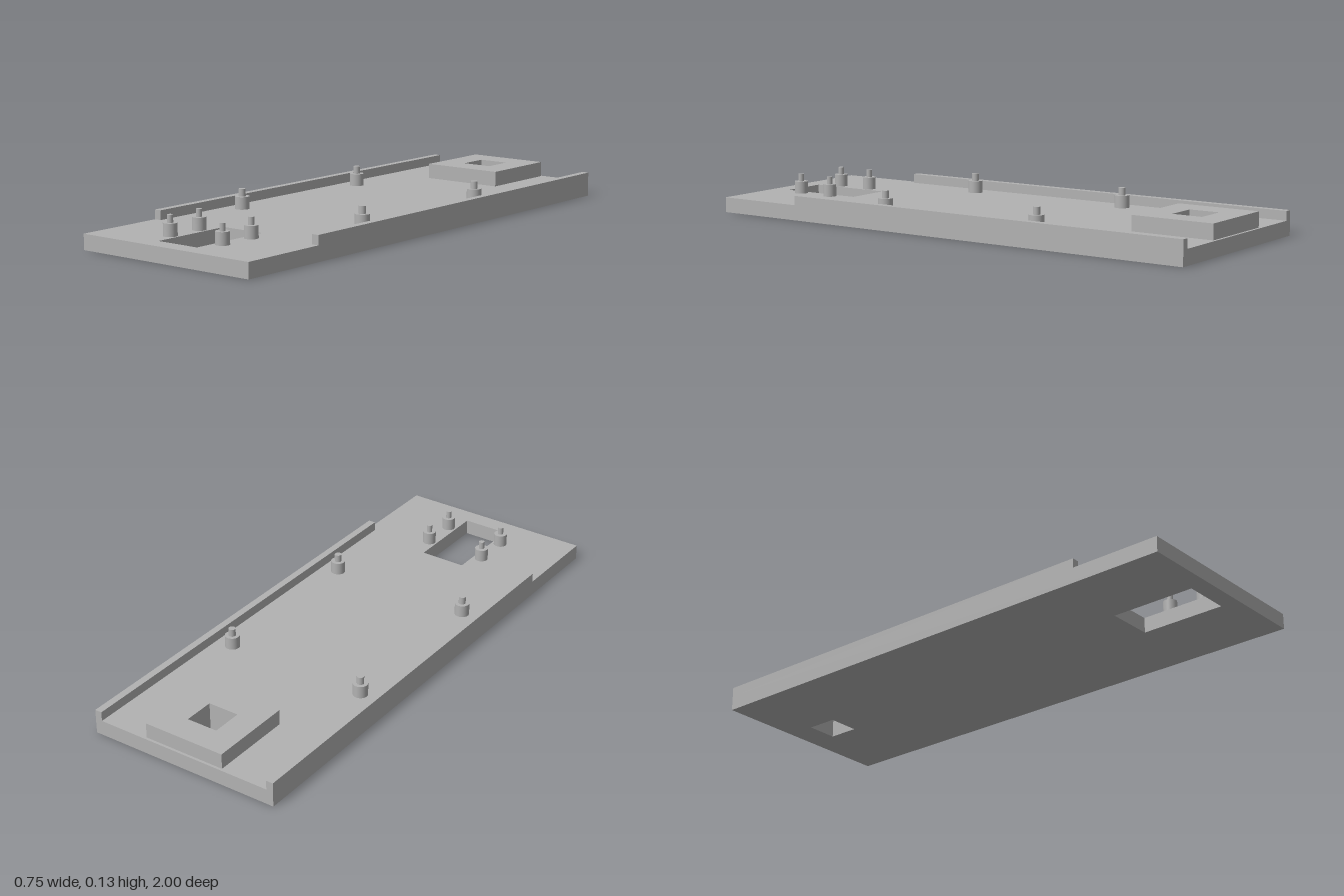
import * as THREE from 'three';

const BASE_TOP = 0.057;

// Rectangular slab with a rectangular through-hole; rectangles are [x0, x1, z0, z1]
function slab(outer, holes, y0, y1) {
  const trace = (path, [x0, x1, z0, z1]) => {
    path.moveTo(x0, -z1);
    path.lineTo(x1, -z1);
    path.lineTo(x1, -z0);
    path.lineTo(x0, -z0);
    path.closePath();
    return path;
  };
  const shape = trace(new THREE.Shape(), outer);
  for (const h of holes) shape.holes.push(trace(new THREE.Path(), h));
  const geo = new THREE.ExtrudeGeometry(shape, { depth: y1 - y0, bevelEnabled: false });
  return geo.rotateX(-Math.PI / 2).translate(0, y0, 0);
}

export function createModel() {
  const model = new THREE.Group();
  const grey = new THREE.MeshStandardMaterial({ color: 0xb2b2b2 });
  grey.name = 'plain grey';

  const add = (parent, name, geo) => {
    const mesh = new THREE.Mesh(geo, grey);
    mesh.name = name;
    parent.add(mesh);
    return mesh;
  };

  // Base plate with front slot and rear square hole
  const slot = [-0.088, 0.088, 0.61, 0.932];
  const squareHole = [-0.06, 0.06, -0.89, -0.773];
  add(model, 'basePlate', slab([-0.376, 0.376, -1, 1], [slot, squareHole], 0, BASE_TOP));

  // Raised pad around the rear hole
  add(model, 'rearPad', slab([-0.16, 0.16, -0.99, -0.672], [squareHole], BASE_TOP, 0.114));

  // Stepped mounting post: wide boss with a narrow pin
  const addPost = (name, x, z, bossRadius, pinRadius) => {
    const post = new THREE.Group();
    post.name = name;
    post.position.set(x, BASE_TOP, z);
    const boss = new THREE.CylinderGeometry(bossRadius, bossRadius, 0.046, 32);
    add(post, 'boss', boss.translate(0, 0.023, 0));
    const pin = new THREE.CylinderGeometry(pinRadius, pinRadius, 0.028, 32);
    add(post, 'pin', pin.translate(0, 0.06, 0));
    model.add(post);
  };

  for (const [side, s] of [['left', 1], ['right', -1]]) {
    // Side rail, stopping short of the front
    const rail = add(model, side + 'Rail', new THREE.BoxGeometry(0.027, 0.035, 1.655));
    rail.position.set(s * 0.3625, BASE_TOP + 0.0175, -0.1725);

    // Board posts and slot posts
    for (const z of [-0.362, 0.302]) addPost(side + 'BoardPost', s * 0.28, z, 0.027, 0.013);
    for (const z of [0.7, 0.842]) addPost(side + 'SlotPost', s * 0.12, z, 0.025, 0.0105);
  }
  return model;
}
